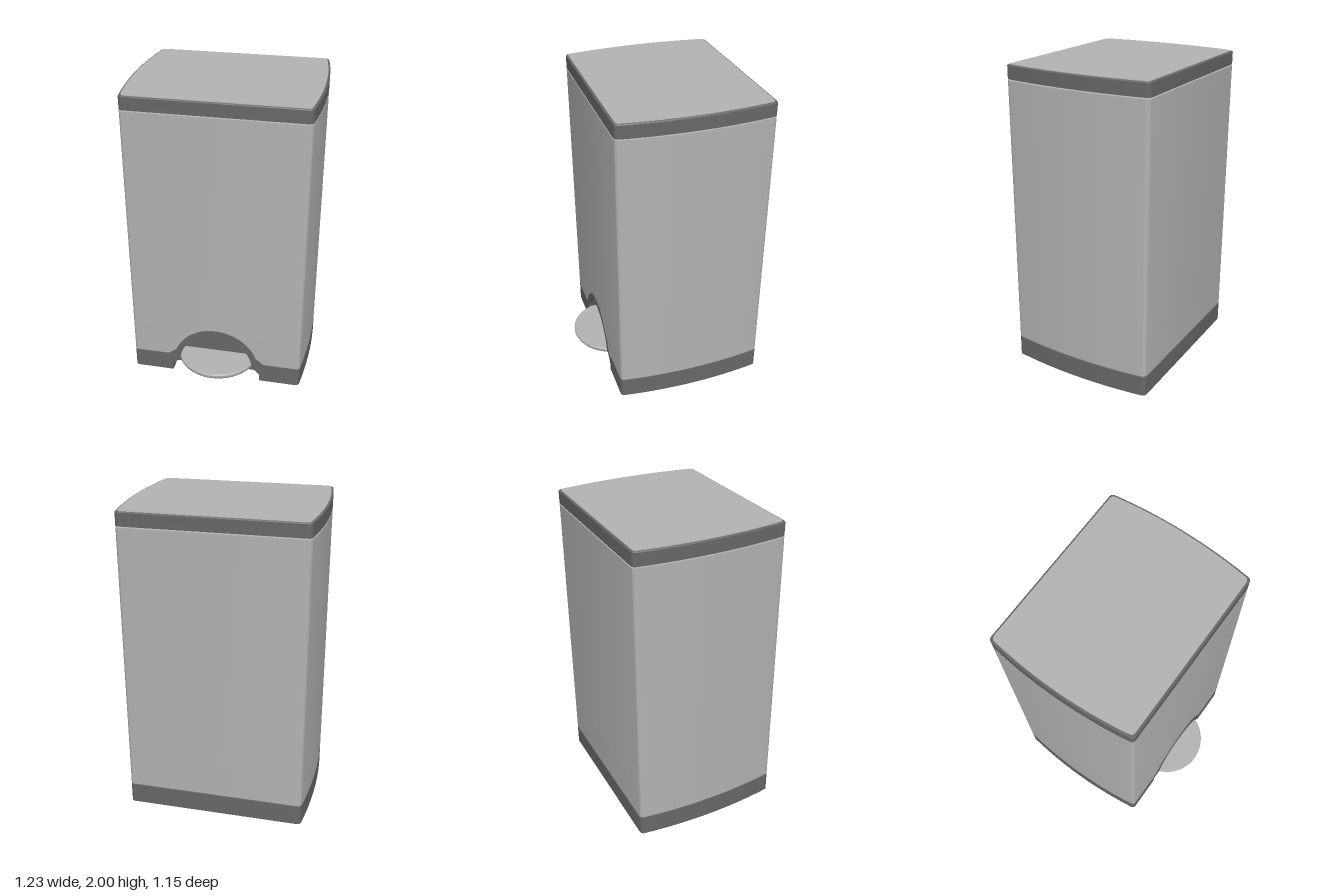
import * as THREE from 'three';
import { toCreasedNormals } from 'three/addons/utils/BufferGeometryUtils.js';

const FRONT = 0.405, BACK = -0.575, RECESS = 0.305;
const ARCH_Y = 0.08, ARCH_R = 0.255;

// Half outline of the bin (x > 0), from front to back, as [x, z] points
function halfOutline(inset) {
  const f = FRONT - inset, b = BACK + inset, e = 0.58 - inset;
  const p = new THREE.Path();
  p.moveTo(e - 0.03, f);
  p.quadraticCurveTo(e - 0.003, f, e, f - 0.03);
  p.quadraticCurveTo(e + 0.066, (f + b) / 2, e, b + 0.03);
  p.quadraticCurveTo(e - 0.003, b, e - 0.03, b);
  return p.getPoints(12).map(v => [v.x, v.y]);
}

// Closed ring, with an optional recess of half-width w in the front face
function ring(inset, w) {
  const half = halfOutline(inset);
  const all = [...half, ...half.map(([x, z]) => [-x, z]).reverse()];
  if (w) all.push([-w, FRONT - inset], [-w, RECESS], [w, RECESS], [w, FRONT - inset]);
  return all;
}

// Capped solid through levels of { y, inset, w }
function loft(levels) {
  const rings = levels.map(({ y, inset = 0, w = 0 }) =>
    ring(inset, w).map(([x, z]) => new THREE.Vector3(x, y, z)));
  const pos = [];
  const tri = (...vs) => vs.forEach(v => pos.push(v.x, v.y, v.z));
  for (let k = 0; k + 1 < rings.length; k++) {
    const lo = rings[k], hi = rings[k + 1];
    lo.forEach((a, i) => {
      const j = (i + 1) % lo.length;
      tri(a, lo[j], hi[j]);
      tri(a, hi[j], hi[i]);
    });
  }
  const cap = (r, up) => {
    const flat = r.map(v => new THREE.Vector2(v.x, -v.z));
    for (const [a, b, c] of THREE.ShapeUtils.triangulateShape(flat, []))
      up ? tri(r[a], r[b], r[c]) : tri(r[a], r[c], r[b]);
  };
  cap(rings[0], false);
  cap(rings[rings.length - 1], true);
  const g = new THREE.BufferGeometry();
  g.setAttribute('position', new THREE.Float32BufferAttribute(pos, 3));
  return toCreasedNormals(g, 0.5);
}

// Extrude a front-facing shape between two z positions
function plate(shape, z0, z1) {
  const g = new THREE.ExtrudeGeometry(shape, { depth: z1 - z0, bevelEnabled: false, curveSegments: 32 });
  return toCreasedNormals(g.translate(0, 0, z0), 0.5);
}

// Arch band from an outer radius to the opening, cut off at y
function archShape(outer, y, feet) {
  const s = new THREE.Shape();
  const angle = (r, h) => Math.asin((h - ARCH_Y) / r);
  const a = angle(outer, feet ? 0.185 : y), b = angle(ARCH_R, y);
  if (feet) s.moveTo(0.335, y).lineTo(0.335, 0.137);
  s.absarc(0, ARCH_Y, outer, a, Math.PI - a, false);
  if (feet) s.lineTo(-0.335, 0.137).lineTo(-0.335, y);
  s.absarc(0, ARCH_Y, ARCH_R, Math.PI - b, b, true);
  s.closePath();
  return s;
}

export function createModel() {
  const light = new THREE.MeshStandardMaterial({ color: 0xb3b3b3 });
  light.name = 'light grey';
  const dark = new THREE.MeshStandardMaterial({ color: 0x686868 });
  dark.name = 'dark grey';

  const model = new THREE.Group();
  model.name = 'pedalBin';
  const add = (name, geometry, material) => {
    const m = new THREE.Mesh(geometry, material);
    m.name = name;
    model.add(m);
  };

  // Base with a flared pedal recess
  add('base', loft([
    { y: 0, w: 0.305 }, { y: 0.05, w: 0.305 },
    { y: 0.1, w: 0.254 }, { y: 0.133, w: 0.25 },
  ]), dark);

  // Body: lower part follows the arch, upper part is plain
  const archOuter = ARCH_R + 0.02, archTop = ARCH_Y + archOuter;
  const start = Math.asin((0.14 - ARCH_Y) / archOuter);
  const lower = [];
  for (let i = 0; i <= 16; i++) {
    const t = start + (1.54 - start) * i / 16;
    lower.push({ y: ARCH_Y + archOuter * Math.sin(t), w: archOuter * Math.cos(t) });
  }
  add('lowerBody', loft(lower), light);
  add('upperBody', loft([{ y: archTop - 0.0002 }, { y: 1.901 }]), light);

  // Arch trim, its lining and the back of the recess
  add('archTrim', plate(archShape(0.295, 0.128, true), FRONT - 0.01, FRONT + 0.007), dark);
  add('archLining', plate(archShape(archOuter, 0.128, false), RECESS, FRONT), dark);
  const back = new THREE.Shape();
  back.absarc(0, ARCH_Y, archOuter, 0.17, Math.PI - 0.17, false);
  add('recessBack', plate(back, RECESS, RECESS + 0.005), dark);

  // Half-round pedal with softened rim
  const profile = [[0, 0.1], [0.25, 0.1], [0.263, 0.107], [0.27, 0.12], [0.27, 0.133], [0.264, 0.14], [0, 0.14]]
    .map(([x, y]) => new THREE.Vector2(x, y));
  const pedal = new THREE.LatheGeometry(profile, 40, -Math.PI / 2, Math.PI);
  pedal.translate(0, 0, RECESS);
  add('pedal', toCreasedNormals(pedal, 0.6), light);

  // Lid rim and the inset top panel
  add('lidRim', loft([{ y: 1.909 }, { y: 1.99 }, { y: 1.996, inset: 0.004 }]), dark);
  add('lidPanel', loft([{ y: 1.994, inset: 0.012 }, { y: 2, inset: 0.013 }]), light);

  return model;
}
